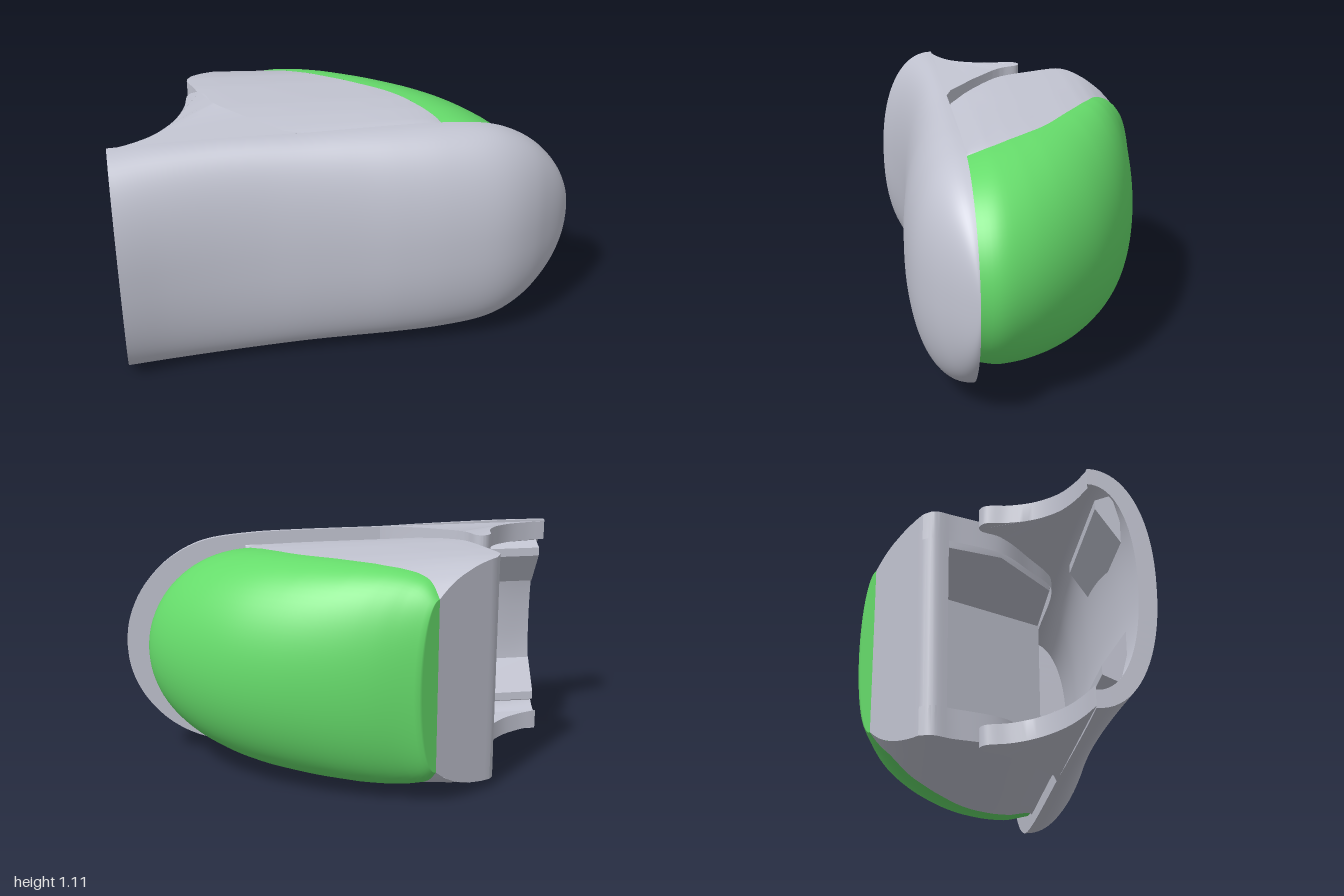
import * as THREE from 'three';
import { toCreasedNormals } from 'three/addons/utils/BufferGeometryUtils.js';

const MID = 0.563; // height of the symmetry plane
const grey = new THREE.MeshStandardMaterial({ color: 0xc2c4d1, side: THREE.DoubleSide });
grey.name = 'grey plastic';
const green = new THREE.MeshStandardMaterial({ color: 0x66dc6b, side: THREE.DoubleSide });
green.name = 'green pad';

// Smooth surface from a rule f(u, v) -> [x, y, z], with y measured from the symmetry plane
function grid(nu, nv, f) {
  const pos = [], idx = [];
  for (let i = 0; i <= nu; i++) for (let j = 0; j <= nv; j++) pos.push(...f(i / nu, j / nv));
  for (let i = 0; i < nu; i++) for (let j = 0; j < nv; j++) {
    const a = i * (nv + 1) + j, b = a + nv + 1;
    idx.push(a, a + 1, b, b, a + 1, b + 1);
  }
  const g = new THREE.BufferGeometry();
  g.setAttribute('position', new THREE.Float32BufferAttribute(pos, 3));
  g.setIndex(idx);
  g.computeVertexNormals();
  return g;
}

// Plate with an outline in x/z, between heights y0 and y1, flared outward towards the back
function plate(points, y0, y1, side = 1, flare = 0) {
  const shape = new THREE.Shape(points.map(([x, z]) => new THREE.Vector2(x, z)));
  const g = new THREE.ExtrudeGeometry(shape, { depth: y1 - y0, bevelEnabled: false });
  const p = g.attributes.position;
  for (let i = 0; i < p.count; i++) {
    const z = p.getY(i);
    p.setXYZ(i, p.getX(i), side * (y0 + p.getZ(i) + flare * Math.sin((0.3 - z) / 0.4 * Math.PI / 2)), z);
  }
  g.computeVertexNormals();
  return toCreasedNormals(g, 0.6);
}

const curve = pts => new THREE.CatmullRomCurve3(pts.map(([x, z]) => new THREE.Vector3(x, 0, z)));

// Half height of the tip's flanks at depth z
const FLANK = [[-0.6, 0.25], [-0.51, 0.415], [-0.48, 0.45], [-0.45, 0.475], [-0.4, 0.5], [-0.36, 0.512],
  [-0.3, 0.52], [-0.2, 0.522], [0, 0.515], [0.1, 0.506], [0.2, 0.49], [0.3, 0.46]];
function flank(z) {
  for (let i = 1; i < FLANK.length; i++) {
    const [z0, h0] = FLANK[i - 1], [z1, h1] = FLANK[i];
    if (z <= z1) return h0 + (h1 - h0) * (z - z0) / (z1 - z0);
  }
  return 0.46;
}

// Pad ridge, pad border and open rim of the tip, seen from above
const ridge = curve([[-0.22, -0.57], [0, -0.535], [0.2, -0.475], [0.4, -0.385], [0.6, -0.25],
  [0.78, -0.06], [0.87, 0.09], [0.9, 0.2], [0.88, 0.31]]);
const border = curve([[-0.31, -0.513], [-0.27, -0.43], [-0.1, -0.32], [0.1, -0.18], [0.25, -0.06],
  [0.35, 0.07], [0.42, 0.2], [0.435, 0.3]]);
const rim = curve([[-0.6, -0.333], [-0.625, -0.285], [-0.6, -0.2], [-0.53, 0.02], [-0.4, 0.16],
  [-0.27, 0.28], [-0.18, 0.3], [0.1, 0.3], [0.435, 0.3]]);

// Front shell sections: x, half height, front depth
const shellCurve = new THREE.CatmullRomCurve3([[-1, 0.535, 0.562], [-0.8, 0.538, 0.522], [-0.6, 0.536, 0.5],
  [-0.4, 0.532, 0.495], [-0.2, 0.526, 0.505], [0, 0.525, 0.52], [0.2, 0.523, 0.54], [0.4, 0.517, 0.55],
  [0.6, 0.495, 0.542], [0.7, 0.461, 0.52], [0.8, 0.4, 0.475], [0.88, 0.322, 0.42], [0.94, 0.235, 0.37],
  [0.98, 0.14, 0.327], [0.995, 0.07, 0.308], [1, 0, 0.3]].map(p => new THREE.Vector3(...p)));
const CAVITY = 0.6; // share of the shell's length that is hollow
const WALL = 0.075;

export function createModel() {
  const model = new THREE.Group();
  const body = new THREE.Group();
  body.position.y = MID;
  model.add(body);
  const add = (name, geometry, material = grey) => {
    const m = new THREE.Mesh(geometry, material);
    m.name = name;
    body.add(m);
  };
  // Slightly squared half-ellipse section of the shell
  const shellPoint = (t, v, inset) => {
    const s = shellCurve.getPointAt(t), a = (v - 0.5) * Math.PI, sin = Math.sin(a);
    return [s.x, (s.y - inset) * Math.sign(sin) * Math.abs(sin) ** 0.9,
      0.3 + (s.z - 0.3 - inset) * Math.max(Math.cos(a), 0) ** 0.9];
  };

  // Front shell: outer skin, hollow inside, end rim and flat back
  add('frontShell', grid(90, 40, (u, v) => shellPoint(u, v, 0)));
  add('shellInside', grid(40, 32, (u, v) => shellPoint(u * CAVITY, v, WALL)));
  add('shellOpenRim', grid(1, 40, (u, v) => shellPoint(0, v, u * WALL)));
  add('shellCavityEnd', grid(1, 32, (u, v) => {
    const p = shellPoint(CAVITY, v, WALL);
    return [p[0], p[1], 0.3 + (p[2] - 0.3) * u];
  }));
  add('shellBack', grid(50, 1, (u, v) => {
    const s = shellCurve.getPointAt(CAVITY + (1 - CAVITY) * u);
    return [s.x, s.y * (2 * v - 1), 0.3];
  }));

  // Green fingertip pad, domed between its two borders; the first rows close it onto the end panel
  const START = 0.1;
  add('pad', grid(70, 40, (u, v) => {
    const t = Math.max(0, (u - START) / (1 - START)), a = (v - 0.5) * Math.PI;
    const p = ridge.getPointAt(t), q = border.getPointAt(t);
    p.lerp(q, 1 - Math.cos(a) * Math.min(1, u / START));
    return [p.x, (flank(q.z) - 0.02) * Math.sin(a), p.z];
  }), green);

  // Slanted grey end panel, rolling over at the lip
  const panel = [];
  const q0 = border.getPointAt(0), r0 = rim.getPointAt(0);
  for (let i = 0; i <= 10; i++) {
    const s = i / 10, p = q0.clone().lerp(r0, s);
    panel.push([p.x, flank(p.z) - 0.02 * (1 - s) ** 2, p.z]);
  }
  for (let i = 1; i <= 6; i++) {
    const p = rim.getPointAt(i * 0.014);
    panel.push([p.x, flank(p.z), p.z]);
  }
  add('endPanel', grid(panel.length - 1, 1, (u, v) => {
    const [x, h, z] = panel[Math.round(u * (panel.length - 1))];
    return [x, h * (2 * v - 1), z];
  }));
  add('endPanelBacking', plate([[-0.34, -0.46], [-0.59, -0.315], [-0.605, -0.285], [-0.59, -0.24],
    [-0.55, -0.25], [-0.34, -0.4]], -0.39, 0.39));
  add('innerWall', plate([[-0.22, -0.42], [-0.12, -0.42], [0.2, 0.29], [0.1, 0.29]], -0.4, 0.4));

  for (const side of [1, -1]) {
    const end = side > 0 ? 'upper' : 'lower';
    // Grey flank of the tip with its thick rim
    add(end + 'Flank', grid(60, 16, (u, v) => {
      const p = border.getPointAt(u).lerp(rim.getPointAt(u), v);
      return [p.x, side * (flank(p.z) - 0.02 * (1 - v) ** 2), p.z];
    }));
    add(end + 'FlankRim', grid(60, 1, (u, v) => {
      const p = rim.getPointAt(u);
      return [p.x, side * (v ? 0.39 : flank(p.z)), p.z];
    }));
    add(end + 'FlankLining', plate([[-0.3, -0.41], [-0.58, -0.28], [-0.51, 0.02], [-0.25, 0.28],
      [0.38, 0.29], [0.28, 0.05], [0, -0.18]], 0.38, 0.43, side));

    // Hinge wing rising from the shell
    const outline = [
      ...curve([[-1, 0.3], [-0.9, 0.27], [-0.8, 0.22], [-0.71, 0.13], [-0.66, 0.03], [-0.635, -0.07],
        [-0.6, -0.09], [-0.57, -0.075], [-0.545, 0], [-0.51, 0.05]]).getPoints(50).map(p => [p.x, p.z]),
      [-0.4, 0.16], [-0.27, 0.275], [-0.2, 0.3]];
    add(end + 'Wing', plate(outline, 0.44, 0.527, side, 0.03));
    // Shell edge joining the skin to the inner wall
    add(end + 'ShellEdge', grid(40, 1, (u, v) => {
      const s = shellCurve.getPointAt(u * CAVITY);
      return [s.x, side * (s.y - v * WALL), 0.3];
    }));
    // Sloping ledge along the shell's inner corner
    const section = [[0.2, 0.43], [0.35, 0.33], [0.39, 0.33], [0.42, 0.4], [0.3, 0.43]];
    const ledge = new THREE.ExtrudeGeometry(
      new THREE.Shape(section.map(([y, z]) => new THREE.Vector2(-z, side * y))),
      { depth: 0.52, bevelEnabled: false });
    ledge.rotateY(Math.PI / 2).translate(-0.99, 0, 0);
    add(end + 'Ledge', ledge);
  }
  return model;
}
